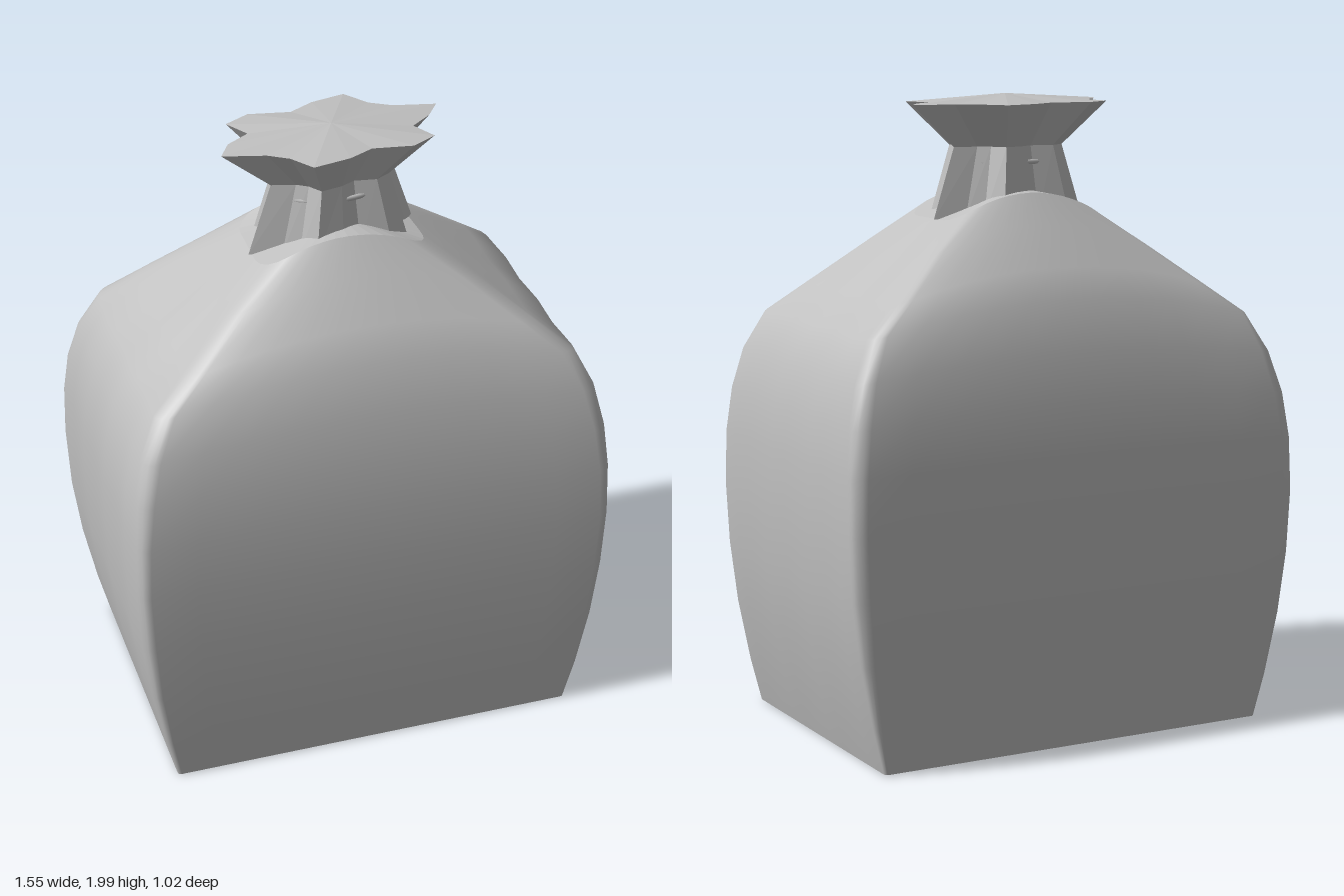
import * as THREE from 'three';

// Skins a stack of closed rings (bottom to top); flat gives every facet its own normal
function loft(rings, flat) {
  const n = rings[0].length, index = [];
  for (let i = 0; i < rings.length - 1; i++) {
    for (let j = 0; j < n; j++) {
      const k = (j + 1) % n, a = i * n + j, b = i * n + k;
      index.push(a, a + n, b, b, a + n, b + n);
    }
  }
  let g = new THREE.BufferGeometry();
  g.setAttribute('position', new THREE.Float32BufferAttribute(rings.flat(2), 3));
  g.setIndex(index);
  if (flat) g = g.toNonIndexed();
  g.computeVertexNormals();
  return g;
}

// Rounded rectangle at height y, raised by lift towards the middle of front and back
function sackRing([y, a, b, r, lift]) {
  const pts = [], corner = 4, side = 10;
  const corners = [[1, 1], [-1, 1], [-1, -1], [1, -1]];
  corners.forEach(([sx, sz], q) => {
    const arc = [];
    for (let i = 0; i <= corner; i++) {
      const t = (q + i / corner) * Math.PI / 2;
      arc.push([sx * (a - r) + r * Math.cos(t), sz * (b - r) + r * Math.sin(t)]);
    }
    pts.push(...arc);
    const [nx, nz] = corners[(q + 1) % 4], t = (q + 1) * Math.PI / 2;
    const end = [nx * (a - r) + r * Math.cos(t), nz * (b - r) + r * Math.sin(t)];
    for (let i = 1; i < side; i++) {
      const f = i / side;
      pts.push([arc[corner][0] * (1 - f) + end[0] * f, arc[corner][1] * (1 - f) + end[1] * f]);
    }
  });
  return pts.map(([x, z]) => {
    // shallow creases down the narrow sides
    const crease = 1 + 0.006 * Math.sin(z * 22) * (Math.abs(x) > a * 0.98 ? 1 : 0) * Math.min(1, y * 2);
    return [x * crease, y + lift * (1 - (x / a) ** 2), z];
  });
}

export function createModel() {
  const group = new THREE.Group();
  const cloth = new THREE.MeshStandardMaterial({ color: 0xc0c0c0 });
  cloth.name = 'grey cloth';
  const add = (name, geometry) => {
    const mesh = new THREE.Mesh(geometry, cloth);
    mesh.name = name;
    group.add(mesh);
    return mesh;
  };

  // Filled sack: height, half width, half depth, corner radius, lift
  const rows = [
    [0.01, 0.66, 0.47, 0.012, 0],
    [0.15, 0.695, 0.484, 0.02, 0],
    [0.35, 0.735, 0.498, 0.03, 0],
    [0.55, 0.761, 0.508, 0.04, 0],
    [0.75, 0.77, 0.512, 0.04, 0],
    [0.92, 0.768, 0.505, 0.045, 0.01],
    [1.06, 0.754, 0.488, 0.05, 0.03],
    [1.19, 0.722, 0.458, 0.05, 0.05],
    [1.31, 0.662, 0.41, 0.05, 0.085],
    [1.40, 0.55, 0.343, 0.055, 0.085],
    [1.52, 0.4, 0.245, 0.06, 0.085],
    [1.62, 0.265, 0.165, 0.075, 0.08],
  ];
  const rings = rows.map(sackRing);
  add('sack', loft(rings, false));

  // Flat underside and the gathered cloth hidden inside the collar
  const point = (y) => rings[0].map(() => [0, y, 0]);
  add('base', loft([point(0.008), rings[0]], true));
  add('gather', loft([rings[rings.length - 1], point(1.71)], true));

  // Pleated collar: one star outline scaled at the hem, the neck and the flared mouth
  const star = [
    [0.36, -0.075], [0.315, -0.01], [0.245, 0.045], [0.285, 0.125], [0.205, 0.17],
    [0.08, 0.15], [0, 0.19], [-0.12, 0.215], [-0.17, 0.14], [-0.23, 0.1],
    [-0.36, 0.065], [-0.32, -0.005], [-0.245, -0.055], [-0.29, -0.135], [-0.21, -0.18],
    [-0.08, -0.155], [0, -0.2], [0.11, -0.225], [0.165, -0.145], [0.23, -0.105],
  ];
  const starRing = (y, sx, sz) => star.map(([x, z]) => [x * sx, y, z * sz]);
  const mouth = starRing(1.975, 1, 1);
  add('collar', loft([starRing(1.62, 0.77, 0.7), starRing(1.84, 0.56, 0.56), mouth], true));
  add('collarTop', loft([mouth, starRing(2.0, 0, 0)], true));

  // Tie that shows only in the folds of the neck
  const tie = add('tie', new THREE.TorusGeometry(1, 0.06, 6, 48));
  tie.geometry.rotateX(Math.PI / 2);
  tie.geometry.scale(0.16, 0.14, 0.1);
  tie.position.y = 1.79;

  return group;
}
